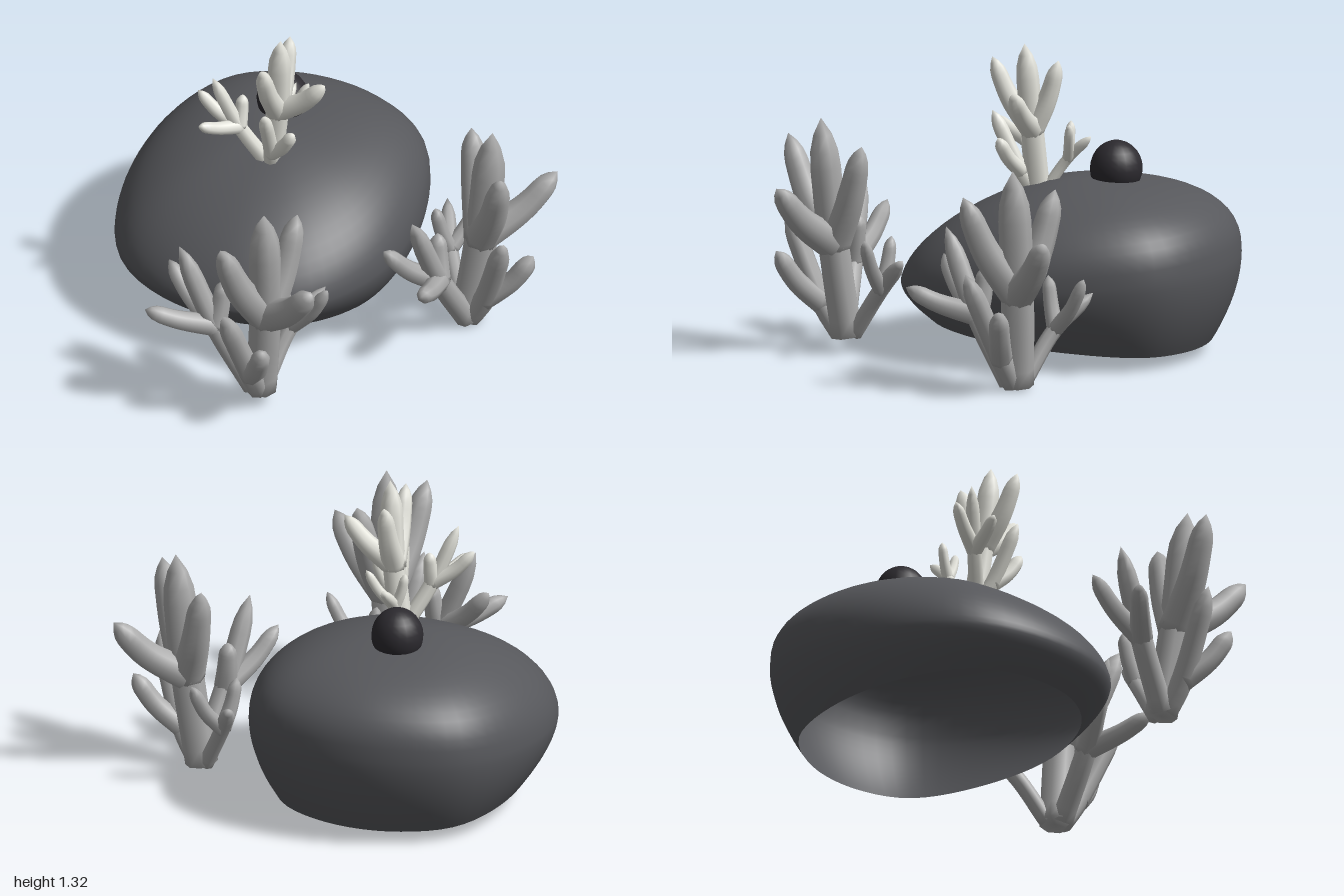
import * as THREE from 'three';
import { mergeVertices } from 'three/addons/utils/BufferGeometryUtils.js';

const V = (p) => new THREE.Vector3(...p);
const material = (color) => new THREE.MeshStandardMaterial({ color, side: THREE.DoubleSide });

// Plan outline of the boulder, as x, z
const OUTLINE = [
  [-0.12, -1], [0.2, -0.9], [0.45, -0.66], [0.56, -0.36], [0.43, 0], [0.15, 0.31],
  [-0.2, 0.43], [-0.5, 0.35], [-0.75, 0.09], [-0.84, -0.2], [-0.72, -0.57], [-0.44, -0.87],
];

// Boulder: rings swept from the crown over the belly to a tilted open rim
function boulder() {
  const outline = new THREE.CatmullRomCurve3(OUTLINE.map(([x, z]) => V([x, 0, z])), true);
  const around = 64, top = 16, low = 10, rings = top + low;
  const cx = -0.14, cz = -0.29, crown = 0.728;
  const pos = [], idx = [];
  for (let i = 0; i <= rings; i++) {
    for (let j = 0; j < around; j++) {
      const p = outline.getPointAt(j / around);
      const dx = p.x - cx, dz = p.z - cz;
      const lean = (dx - dz) / Math.hypot(dx, dz);
      const belly = 0.335 + 0.045 * lean;
      let r, y;
      if (i <= top) {
        const n = 2.1 + 0.38 * lean;
        r = Math.sin((i / top) * Math.PI / 2);
        y = belly + (crown - belly) * Math.pow(Math.max(0, 1 - Math.pow(r, n)), 1 / n);
      } else {
        const t = (i - top) / low;
        r = 1 - 0.17 * Math.pow(t, 1.8);
        const rim = 0.092 - 0.053 * (cx + dx * r) + 0.06 * (cz + dz * r);
        y = belly + (rim - belly) * t;
      }
      pos.push(cx + dx * r, y, cz + dz * r);
      if (i < rings) {
        const a = i * around + j, b = i * around + (j + 1) % around;
        idx.push(a, b, a + around, b, b + around, a + around);
      }
    }
  }
  const raw = new THREE.BufferGeometry();
  raw.setAttribute('position', new THREE.Float32BufferAttribute(pos, 3));
  raw.setIndex(idx);
  const g = mergeVertices(raw, 1e-5);
  g.computeVertexNormals();
  return g;
}

// Tapered limb with a flat start and a blunt pointed tip
function limb(points, r0, r1) {
  const curve = new THREE.CatmullRomCurve3(points);
  const n = 14, sides = 8;
  const tube = new THREE.TubeGeometry(curve, n, 1, sides);
  const pos = tube.attributes.position, v = new THREE.Vector3();
  for (let i = 0; i <= n; i++) {
    const t = Math.max(0, (i - 1) / (n - 1));
    const centre = curve.getPointAt(i / n), target = curve.getPointAt(t);
    const end = t > 0.82 ? Math.pow(Math.max(0, 1 - (t - 0.82) / 0.18), 0.6) : 1;
    const r = i === 0 ? 0 : (r0 + (r1 - r0) * t) * end;
    for (let j = 0; j <= sides; j++) {
      const k = i * (sides + 1) + j;
      v.fromBufferAttribute(pos, k).sub(centre).multiplyScalar(r).add(target);
      pos.setXYZ(k, v.x, v.y, v.z);
    }
  }
  tube.deleteAttribute('uv');
  tube.deleteAttribute('normal');
  const g = mergeVertices(tube, 1e-5);
  g.computeVertexNormals();
  return g;
}

// Each fork rises from root to joint and splits; its stem runs on to the first tip
const FORKS = [
  { name: 'trunk', root: [0, 0, 0], joint: [0, 0.4, 0.06], radii: [0.07, 0.075, 0.045], stemTip: 0.07,
    tips: [[-0.02, 0.94, 0.11], [0.16, 0.84, 0], [0.11, 0.68, 0.37], [-0.23, 0.84, 0.17]] },
  { name: 'smallFork', root: [0.03, 0.01, -0.02], joint: [0.16, 0.22, -0.09], radii: [0.035, 0.036, 0.027], stemTip: 0.034,
    tips: [[0.32, 0.37, -0.12], [0.28, 0.46, 0.04], [0.13, 0.44, -0.15]] },
  { name: 'sideFork', root: [-0.03, 0.01, 0], joint: [-0.17, 0.28, -0.1], radii: [0.05, 0.05, 0.034], stemTip: 0.042,
    tips: [[-0.3, 0.64, -0.2], [-0.47, 0.39, -0.14], [-0.31, 0.5, -0.32], [-0.13, 0.49, -0.11]] },
  { name: 'lowFork', root: [-0.02, 0.01, 0.02], joint: [-0.07, 0.13, 0.08], radii: [0.048, 0.05, 0.04], stemTip: 0.045,
    tips: [[-0.22, 0.51, 0.18], [-0.08, 0.37, 0.29]] },
];

function coral(name, color, position, turn, size) {
  const group = new THREE.Group();
  group.name = name;
  const mat = material(color);
  for (const { name: part, root, joint, radii: [stem, twig, twigTip], stemTip, tips } of FORKS) {
    const from = V(joint);
    tips.forEach((tip, i) => {
      const to = V(tip);
      // Twigs spread outward first, then turn up
      const mid = from.clone().lerp(to, 0.55);
      mid.y -= 0.13 * (to.y - from.y);
      const g = i === 0 ? limb([V(root), from, to], stem, stemTip) : limb([from, mid, to], twig, twigTip);
      const mesh = new THREE.Mesh(g, mat);
      mesh.name = i === 0 ? part : part + 'Twig';
      group.add(mesh);
    });
  }
  group.position.set(...position);
  group.rotation.y = turn;
  group.scale.setScalar(size);
  return group;
}

export function createModel() {
  const model = new THREE.Group();
  model.name = 'coralRock';

  const rock = new THREE.Mesh(boulder(), material(0x57585c));
  rock.name = 'boulder';
  model.add(rock);

  // Dark pebble resting on the crown
  const pebble = new THREE.Mesh(new THREE.SphereGeometry(1, 20, 14), material(0x2c2a2f));
  pebble.name = 'pebble';
  pebble.scale.set(0.11, 0.12, 0.112);
  pebble.position.set(-0.05, 0.765, -0.44);
  model.add(pebble);

  // One coral form, turned and sized for three places
  model.add(
    coral('frontCoral', 0xaaaaaa, [-0.46, 0.055, 0.62], 0, 1),
    coral('sideCoral', 0xaaaaaa, [0.55, 0.005, 0.27], 1.17, 1),
    coral('topCoral', 0xe4e4dc, [-0.19, 0.66, -0.145], 0.45, 0.69),
  );
  return model;
}
